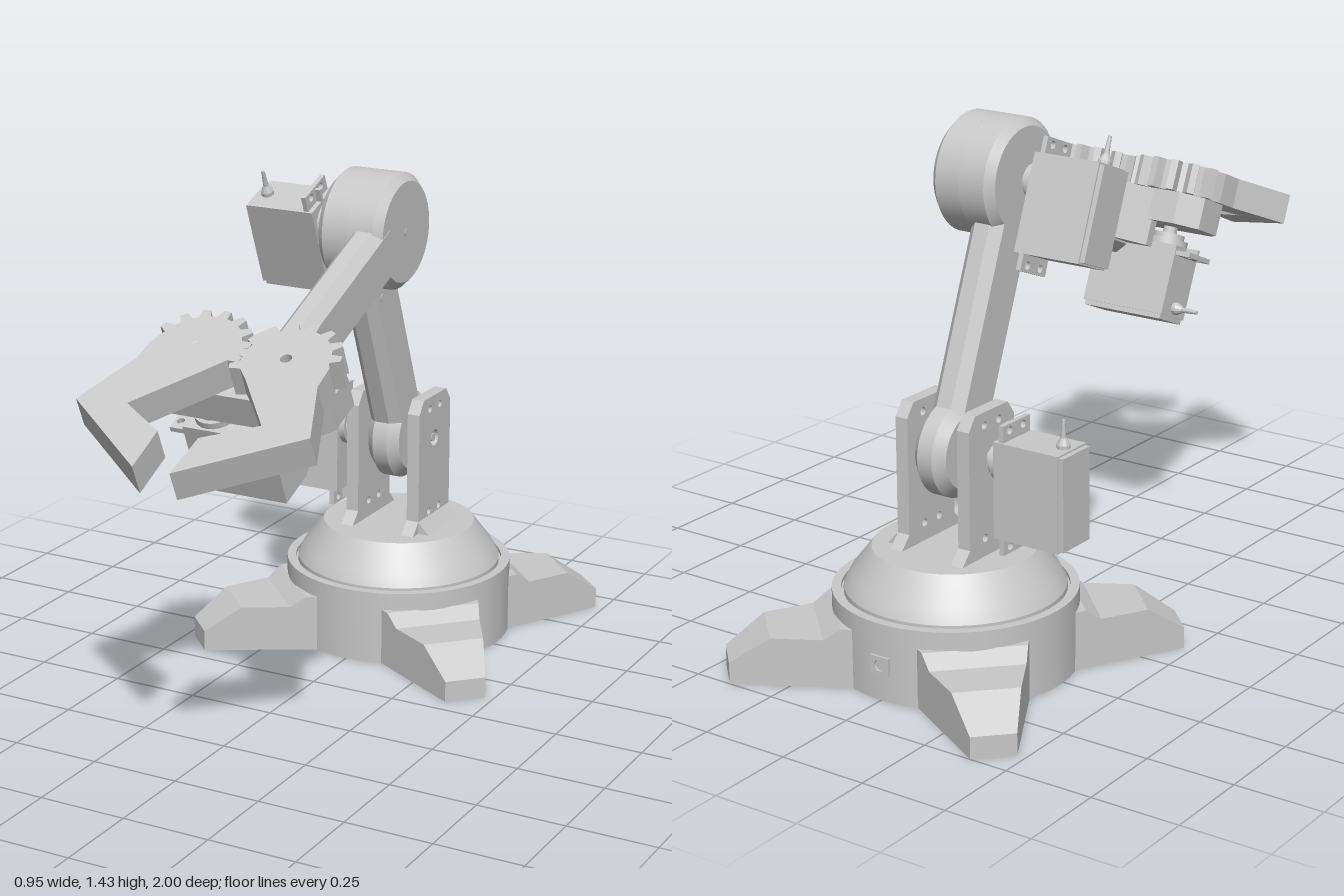
import * as THREE from 'three';
import { toCreasedNormals } from 'three/addons/utils/BufferGeometryUtils.js';

const grey = new THREE.MeshStandardMaterial({ color: 0xc8c8c8 });
grey.name = 'light grey plastic';

function add(parent, name, geometry, x = 0, y = 0, z = 0) {
  const mesh = new THREE.Mesh(geometry, grey);
  mesh.name = name;
  mesh.position.set(x, y, z);
  parent.add(mesh);
  return mesh;
}

function group(parent, name, x, y, z) {
  const g = new THREE.Group();
  g.name = name;
  g.position.set(x, y, z);
  parent.add(g);
  return g;
}

// Straight prism from an outline, with round holes given as [x, y, r]
function prism(points, depth, holes = []) {
  const shape = new THREE.Shape(points.map(([x, y]) => new THREE.Vector2(x, y)));
  for (const [x, y, r] of holes) {
    shape.holes.push(new THREE.Path().absarc(x, y, r, 0, Math.PI * 2, true));
  }
  return new THREE.ExtrudeGeometry(shape, { depth, bevelEnabled: false, curveSegments: 10 });
}

// Outline in (x, z), extruded downwards from y = 0
const plan = (points, depth, holes) => prism(points, depth, holes).rotateX(Math.PI / 2);
// Outline in (z, y), extruded towards -x from x = 0
const side = (points, depth, holes) => prism(points, depth, holes).rotateY(-Math.PI / 2);

function turned(points, segments = 48) {
  const profile = points.map(([r, y]) => new THREE.Vector2(r, y));
  return toCreasedNormals(new THREE.LatheGeometry(profile, segments), 0.4);
}

// Joint drum along x, chamfered on the chosen ends
function drum(r, x0, x1, c0, c1) {
  return turned([[0, x0], [r - c0, x0], [r, x0 + c0], [r, x1 - c1], [r - c1, x1], [0, x1]])
    .rotateZ(-Math.PI / 2);
}

const rod = (r, length) => turned([[0, 0], [r, 0], [r, length], [0, length]], 20).rotateZ(-Math.PI / 2);

// Eight-sided beam along +z
function beam(w, h, c, length) {
  const x = w / 2, y = h / 2;
  return prism([[x - c, -y], [x, c - y], [x, y - c], [x - c, y],
    [c - x, y], [-x, y - c], [-x, c - y], [c - x, -y]], length);
}

// Servo motor: shaft on the x axis, back of the case at x = 0
function servo(parent, name, x, y, z) {
  const g = group(parent, name, x, y, z);
  add(g, 'servoBackCover', new THREE.BoxGeometry(0.014, 0.255, 0.12), 0.007, -0.0625, 0);
  add(g, 'servoCase', new THREE.BoxGeometry(0.2, 0.265, 0.13), 0.114, -0.0625, 0);
  const ears = [[-0.06, -0.24], [0.06, -0.24], [0.06, 0.115], [-0.06, 0.115]];
  const holes = [];
  for (const ey of [-0.222, 0.097]) for (const ez of [-0.03, 0.03]) holes.push([ez, ey, 0.011]);
  add(g, 'servoMountingEars', side(ears, 0.014, holes), 0.2);
  for (const s of [-1, 1]) {
    add(g, 'servoEarRib', new THREE.BoxGeometry(0.018, 0.04, 0.01), 0.206, -0.0625 + s * 0.15, 0);
  }
  add(g, 'servoGearCap', rod(0.058, 0.018), 0.214);
  add(g, 'servoHorn', rod(0.045, 0.018), 0.23);
  add(g, 'servoShaft', rod(0.02, 0.05), 0.22);
  // Cable relief and lead
  add(g, 'cableRelief', turned([[0, 0], [0.018, 0], [0.018, 0.012], [0.009, 0.03], [0, 0.03]], 12), 0.04, 0.068, 0);
  add(g, 'cable', new THREE.CylinderGeometry(0.005, 0.008, 0.05, 8), 0.04, 0.121, 0);
  return g;
}

// Gear with its bent jaw; s mirrors it, offset shifts the teeth so the pair meshes
function jawOutline(s, offset) {
  const pts = [[-0.064, 0.1]];
  const polar = (deg, r) => {
    const t = THREE.MathUtils.degToRad(deg);
    pts.push([Math.cos(t) * r, Math.sin(t) * r]);
  };
  for (let c = 156 + offset; c < 350; c += 24) {
    polar(c - 8, 0.118);
    polar(c - 4, 0.146);
    polar(c + 4, 0.146);
    polar(c + 8, 0.118);
  }
  polar(365, 0.13);
  pts.push([0.133, 0.085], [0.206, 0.27], [-0.077, 0.473], [-0.072, 0.335], [0.063, 0.255]);
  return pts.map(([x, z]) => [x * s, z]);
}

function buildBase(parent) {
  const base = group(parent, 'base', 0, 0, -0.525);
  add(base, 'basePlinth', turned([[0, 0], [0.33, 0], [0.33, 0.215], [0.305, 0.215], [0.305, 0.205],
    [0.298, 0.205], [0.298, 0.22], [0.28, 0.255], [0.222, 0.33], [0, 0.33]], 64));

  // Four tapering feet on the diagonals
  const foot = prism([[0, 0], [0.612, 0], [0.612, 0.06], [0.505, 0.133], [0.37, 0.133],
    [0.325, 0.165], [0, 0.165]], 1).translate(0, 0, -0.5);
  const p = foot.attributes.position;
  for (let i = 0; i < p.count; i++) p.setZ(i, p.getZ(i) * 2 * (0.227 - 0.274 * p.getX(i)));
  foot.computeVertexNormals();
  for (let i = 0; i < 4; i++) add(base, 'foot', foot).rotation.y = Math.PI / 4 + i * Math.PI / 2;

  // Cable port at the back
  add(base, 'cablePort', prism([[-0.03, -0.025], [0.03, -0.025], [0.03, 0.025], [-0.03, 0.025]],
    0.008, [[0, 0, 0.016]]), 0, 0.1, -0.336);

  // Shoulder bracket plates with flared foot strips
  const plate = [[-0.135, 0.328], [0.135, 0.328], [0.1, 0.366], [0.1, 0.69], [0.072, 0.728],
    [-0.072, 0.728], [-0.1, 0.69], [-0.1, 0.366]];
  const holes = [[0, 0.597, 0.024]];
  for (const y of [0.38, 0.692]) for (const z of [-0.032, 0.032]) holes.push([z, y, 0.011]);
  add(base, 'leftBracket', side(plate, 0.038, holes), 0.114);
  add(base, 'rightBracket', side(plate, 0.038, holes), -0.084);
  add(base, 'bracketFootStrip', prism([[0.1, 0.328], [0.15, 0.328], [0.114, 0.366], [0.1, 0.366]], 0.2), 0, 0, -0.1);
  add(base, 'shoulderAxle', rod(0.012, 0.23), -0.12, 0.597, 0);
}

function buildLowerArm(parent) {
  const arm = group(parent, 'lowerArm', 0, 0.597, -0.525);
  arm.rotation.x = 0.374;
  add(arm, 'shoulderDrum', drum(0.13, -0.05, 0.05, 0.027, 0.027));
  add(arm, 'lowerArmBeam', beam(0.1, 0.17, 0.027, 0.56).rotateX(-Math.PI / 2), 0, 0.07, 0);
  add(arm, 'elbowDrumInner', drum(0.163, -0.05, 0.05, 0.022, 0), 0, 0.725, 0);
  // Screw heads near the elbow
  for (const z of [-0.032, 0.032]) add(arm, 'armScrew', rod(0.011, 0.004), 0.048, 0.51, z);
  servo(arm, 'elbowServo', -0.315, 0.725, 0);
}

function buildForearm(parent) {
  const arm = group(parent, 'forearm', 0.1, 1.272, -0.26);
  arm.rotation.x = 0.405;
  add(arm, 'elbowDrumOuter', drum(0.163, -0.05, 0.048, 0, 0.022));
  add(arm, 'elbowPin', rod(0.011, 0.004), 0.046);
  add(arm, 'forearmBeam', beam(0.098, 0.178, 0.028, 0.64), 0, 0, 0.08);

  // Flared wrist and the palm that carries the gears
  add(arm, 'wristFlare', plan([[-0.05, 0.61], [0.05, 0.61], [0.125, 0.7], [0.125, 0.73],
    [-0.125, 0.73], [-0.125, 0.7]], 0.16), 0, 0.105, 0);
  add(arm, 'palm', plan([[-0.12, 0.69], [0.12, 0.69], [0.2, 0.69], [0.255, 0.745], [0.255, 0.85], [0.215, 0.89],
    [-0.215, 0.89], [-0.255, 0.85], [-0.255, 0.745], [-0.2, 0.69]], 0.09,
  [[-0.13, 0.81, 0.016], [0.13, 0.81, 0.016]]), 0, 0.108, 0);

  // Meshing gear jaws
  for (const s of [-1, 1]) {
    add(arm, s > 0 ? 'leftJaw' : 'rightJaw', plan(jawOutline(s, s > 0 ? 0 : 12), 0.085, [[0, 0, 0.016]]),
      s * 0.13, 0.195, 0.81);
  }
  servo(arm, 'gripperServo', -0.127, -0.25, 0.81).rotation.z = Math.PI / 2;
}

export function createModel() {
  const model = new THREE.Group();
  model.name = 'robotArm';
  buildBase(model);
  buildLowerArm(model);
  buildForearm(model);
  servo(model, 'shoulderServo', -0.387, 0.597, -0.525);
  return model;
}
